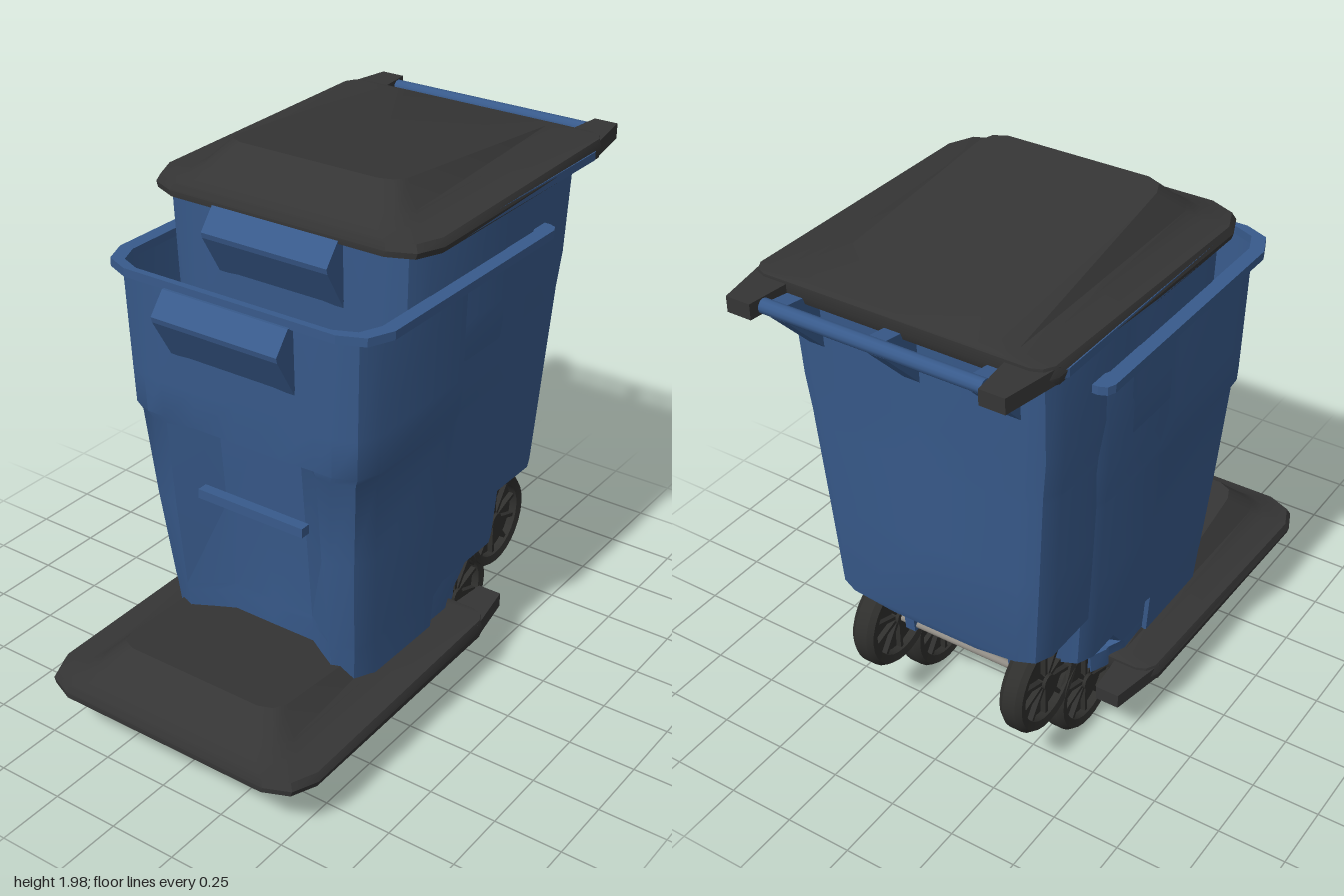
import * as THREE from 'three';
import { toCreasedNormals } from 'three/addons/utils/BufferGeometryUtils.js';

const mat = (name, color) => {
  const m = new THREE.MeshStandardMaterial({ color, side: THREE.DoubleSide });
  m.name = name;
  return m;
};

// Skin a stack of equal-length loops of [x, y, z]; caps are fans to a centre point
function loft(loops, bottom, top) {
  const n = loops[0].length, pos = loops.flat(2), idx = [];
  for (let i = 0; i < loops.length - 1; i++) {
    for (let j = 0; j < n; j++) {
      const k = (j + 1) % n, a = i * n, b = a + n;
      idx.push(a + j, a + k, b + k, a + j, b + k, b + j);
    }
  }
  const cap = (centre, start, up) => {
    const c = pos.length / 3;
    pos.push(...centre);
    for (let j = 0; j < n; j++) {
      const k = (j + 1) % n;
      idx.push(c, start + (up ? j : k), start + (up ? k : j));
    }
  };
  if (bottom) cap(bottom, 0, false);
  if (top) cap(top, (loops.length - 1) * n, true);
  const g = new THREE.BufferGeometry();
  g.setAttribute('position', new THREE.Float32BufferAttribute(pos, 3));
  g.setIndex(idx);
  return toCreasedNormals(g, 0.6);
}

const polygon = (pts) => new THREE.Shape(pts.map(([x, y]) => new THREE.Vector2(x, y)));

// Extrude a (z, y) side profile across x, centred
function sideExtrude(pts, width) {
  const g = new THREE.ExtrudeGeometry(polygon(pts), { depth: width, bevelEnabled: false });
  return g.translate(0, 0, -width / 2).rotateY(-Math.PI / 2);
}

// Extrude an (x, z) plan upward from y = 0
function planExtrude(shape, height) {
  return new THREE.ExtrudeGeometry(shape, { depth: height, bevelEnabled: false })
    .rotateX(Math.PI / 2).translate(0, height, 0);
}

// Rectangle plan with softened corners, counterclockwise from the front centre
function roundedPlan(hx, zf, zb, rf, rb) {
  const half = [[hx - rf, zf], [hx - rf * 0.3, zf - rf * 0.3], [hx, zf - rf],
    [hx, zb + rb], [hx - rb * 0.3, zb + rb * 0.3], [hx - rb, zb]];
  return [...half, ...half.map(([x, z]) => [-x, z]).reverse()];
}

// One body level: front channel, corner posts, sides, narrower back
function bodyLoop([y, zf, zc, zb, wf, wb]) {
  const c = 0.11, r = 0.09, zm = Math.max(0, zb + 0.17);
  const half = [[0.17, zc], [0.31, zf], [wf - c, zf], [wf - c * 0.3, zf - c * 0.3], [wf, zf - c],
    [wf, zm], [wb, zm - 0.06], [wb, zb + r], [wb - r * 0.3, zb + r * 0.3], [wb - r, zb]];
  const full = [[0, zc], ...half, [0, zb], ...half.map(([x, z]) => [-x, z]).reverse()];
  return full.map(([x, z]) => [x, y, z]);
}

// Levels: height, front z, channel z, back z, front half width, back half width
const BODY = [
  [0, 0.43, 0.36, -0.03, 0.395, 0.37],
  [0.08, 0.437, 0.36, -0.04, 0.40, 0.37],
  [0.1, 0.44, 0.36, -0.07, 0.402, 0.25],
  [0.22, 0.455, 0.37, -0.24, 0.411, 0.25],
  [0.37, 0.47, 0.38, -0.455, 0.422, 0.26],
  [0.4, 0.475, 0.38, -0.465, 0.425, 0.42],
  [0.75, 0.515, 0.41, -0.478, 0.451, 0.445],
  [1.08, 0.543, 0.44, -0.492, 0.475, 0.468],
  [1.11, 0.555, 0.56, -0.493, 0.49, 0.47],
  [1.25, 0.56, 0.57, -0.5, 0.494, 0.485],
  [1.62, 0.57, 0.58, -0.52, 0.505, 0.495],
];

export function createModel() {
  const blue = mat('bin blue', 0x385a8b);
  const dark = mat('lid charcoal', 0x353535);
  const rubber = mat('wheel black', 0x2f2f2d);
  const steel = mat('axle grey', 0x8f8b84);
  const root = new THREE.Group();
  root.name = 'wheeledBins';

  const add = (parent, name, geometry, material, x = 0, y = 0, z = 0) => {
    const m = new THREE.Mesh(geometry, material);
    m.name = name;
    m.position.set(x, y, z);
    parent.add(m);
    return m;
  };
  const rod = (r, length) => new THREE.CylinderGeometry(r, r, length, 12).rotateZ(Math.PI / 2);

  // Spoked wheel turning about x
  function wheel() {
    const g = new THREE.Group();
    g.name = 'wheel';
    const section = [[0.145, -0.04], [0.175, -0.045], [0.19, -0.025], [0.19, 0.025],
      [0.175, 0.045], [0.145, 0.04], [0.145, -0.04]];
    const tyre = new THREE.LatheGeometry(section.map(([r, h]) => new THREE.Vector2(r, h)), 28);
    add(g, 'tyre', toCreasedNormals(tyre.rotateZ(Math.PI / 2), 0.6), rubber);
    add(g, 'wheelDisc', new THREE.CylinderGeometry(0.15, 0.15, 0.02, 28).rotateZ(Math.PI / 2), rubber);
    add(g, 'hub', rod(0.03, 0.085), rubber);
    for (let i = 0; i < 10; i++) {
      const spoke = add(g, 'spoke', new THREE.BoxGeometry(0.06, 0.125, 0.014).translate(0, 0.085, 0), rubber);
      spoke.rotation.x = i * Math.PI / 5;
    }
    return g;
  }

  function bin() {
    const g = new THREE.Group();
    g.name = 'bin';
    add(g, 'body', loft(BODY.map(bodyLoop), [0, 0, 0.17]), blue);

    // Flange around the open top
    const rim = polygon(roundedPlan(0.55, 0.59, -0.53, 0.13, 0.04));
    rim.holes.push(polygon(roundedPlan(0.498, 0.565, -0.5, 0.11, 0.06)));
    add(g, 'rim', planExtrude(rim, 0.03), blue, 0, 1.605, 0);

    // Front lifting lip and grab bar
    add(g, 'frontHandle', sideExtrude([[0.55, 1.61], [0.6, 1.61], [0.66, 1.535], [0.655, 1.515], [0.57, 1.37]], 0.5), blue);
    add(g, 'grabBar', new THREE.BoxGeometry(0.44, 0.035, 0.04), blue, 0, 0.815, 0.48);

    // Hinge bar on three brackets
    add(g, 'hingeBar', rod(0.025, 0.8), blue, 0, 1.63, -0.69);
    for (const x of [-0.365, 0, 0.365]) {
      add(g, 'hingeBracket', sideExtrude([[-0.5, 1.4], [-0.5, 1.61], [-0.69, 1.64], [-0.67, 1.58]], 0.06), blue, x);
    }

    // Axle, its mounts and the wheels
    add(g, 'axle', rod(0.014, 0.64), steel, 0, 0.18, -0.29);
    for (const s of [-1, 1]) {
      add(g, 'axleMount', sideExtrude([[-0.16, 0.17], [-0.27, 0.155], [-0.31, 0.16], [-0.32, 0.27]], 0.04), blue, s * 0.22);
      const w = wheel();
      w.position.set(s * 0.31, 0.18, -0.29);
      g.add(w);
    }
    return g;
  }

  // Lid levels: half width, front z, back z, front corner, front y, back y
  const LID = [
    [0.51, -0.04, -1.15, 0.11, 0.03, 0.03],
    [0.52, -0.03, -1.16, 0.12, 0, 0],
    [0.55, 0, -1.18, 0.13, 0, 0],
    [0.557, 0, -1.19, 0.13, 0.02, 0.03],
    [0.545, -0.01, -1.19, 0.13, 0.045, 0.065],
    [0.45, -0.06, -1.18, 0.1, 0.055, 0.068],
    [0.41, -0.1, -1.175, 0.09, 0.085, 0.07],
    [0.34, -0.18, -1.17, 0.07, 0.165, 0.072],
  ];
  function lid() {
    const g = new THREE.Group();
    g.name = 'lid';
    const loops = LID.map(([hx, zf, zb, r, yf, yb]) => roundedPlan(hx, zf, zb, r, 0.05).map(([x, z]) => {
      const t = (zf - z) / (zf - zb);
      const taper = 1 - 0.3 * Math.max(0, -1.08 - z);
      return [x * taper, yf + (yb - yf) * t, z];
    }));
    add(g, 'lidShell', loft(loops, [0, 0.03, -0.6], [0, 0.124, -0.6]), dark);
    // Hinge ears at the rear corners
    for (const s of [-1, 1]) {
      const ear = polygon([[s * 0.39, -1.14], [s * 0.54, -1.12], [s * 0.5, -1.34], [s * 0.41, -1.34]]);
      add(g, 'lidEar', planExtrude(ear, 0.055), dark);
    }
    return g;
  }

  // Front bin with its low lid, and the raised rear bin with a closed lid
  const place = (object, y, z) => {
    object.position.set(0, y, z);
    root.add(object);
  };
  place(bin(), 0, 0);
  place(bin(), 0.2, -0.26);
  place(lid(), 0.17, 1);
  place(lid(), 1.8, 0.34);
  return root;
}
